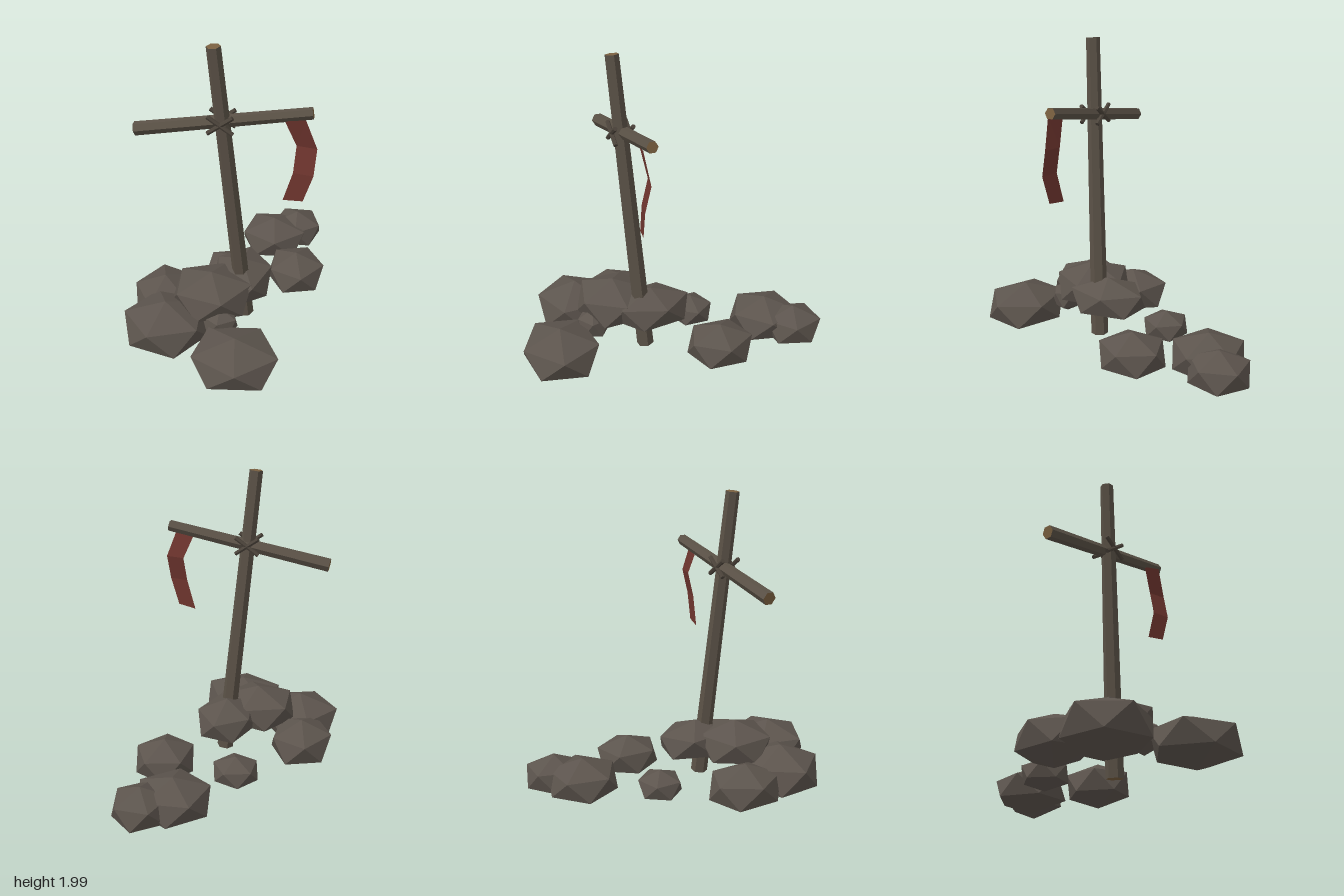
import * as THREE from 'three';

const mat = (name, color) => {
  const m = new THREE.MeshStandardMaterial({ color });
  m.name = name;
  return m;
};

export function createModel() {
  const group = new THREE.Group();
  const stone = mat('stone', 0x5c544d);
  const wood = mat('weatheredWood', 0x5a5146);
  const endGrain = mat('endGrain', 0x7a6040);
  const rope = mat('rope', 0x4c443b);
  const cloth = mat('redCloth', 0x6e352e);
  cloth.side = THREE.DoubleSide;

  const add = (name, geometry, material) => {
    const mesh = new THREE.Mesh(geometry, material);
    mesh.name = name;
    group.add(mesh);
  };

  // Faceted six-sided pole from a to b, with its own material on the cut ends
  const pole = (name, a, b, ra, rb, turn, material, endMaterial) => {
    const from = new THREE.Vector3(...a), to = new THREE.Vector3(...b);
    const dir = to.clone().sub(from);
    let g = new THREE.CylinderGeometry(rb, ra, dir.length(), 6);
    g.rotateY(turn);
    g.applyQuaternion(new THREE.Quaternion().setFromUnitVectors(
      new THREE.Vector3(0, 1, 0), dir.clone().normalize()));
    g.translate(...from.add(to).multiplyScalar(0.5).toArray());
    g = g.toNonIndexed();
    g.computeVertexNormals();
    add(name, g, [material, endMaterial, endMaterial]);
  };

  // Leaning post and tilted crossbar
  pole('post', [0.12, 0.07, 0.16], [-0.057, 1.997, 0.286], 0.056, 0.043, Math.PI / 6, wood, endGrain);
  pole('crossbar', [-0.548, 1.433, 0.234], [0.51, 1.614, 0.25], 0.043, 0.036, 0, wood, endGrain);

  // Crossed lashings on both faces of the joint
  for (const z of [0.312, 0.198]) {
    pole('lashing', [-0.095, 1.472, z], [0.055, 1.578, z], 0.014, 0.014, 0, rope, rope);
    pole('lashing', [-0.095, 1.578, z], [0.055, 1.472, z], 0.014, 0.014, 0, rope, rope);
  }

  // Torn strip of cloth: left x, left y, right y, z for each row
  const rows = [
    [0.35, 1.56, 1.585, 0.278],
    [0.422, 1.397, 1.397, 0.258],
    [0.41, 1.233, 1.233, 0.292],
    [0.354, 1.037, 1.052, 0.283],
  ];
  const pos = [];
  for (let i = 0; i < rows.length - 1; i++) {
    const [a, b, c, d] = [rows[i], rows[i + 1]].flatMap(([x, yl, yr, z]) =>
      [[x, yl, z - 0.012], [x + 0.122, yr, z + 0.012]]);
    pos.push(...a, ...c, ...b, ...b, ...c, ...d);
  }
  const strip = new THREE.BufferGeometry();
  strip.setAttribute('position', new THREE.Float32BufferAttribute(pos, 3));
  strip.computeVertexNormals();
  add('clothStrip', strip, cloth);

  // Squashed boulders: centre x, z; half width, half depth; bottom, top; yaw in degrees
  const boulders = [
    [0.13, 0.738, 0.27, 0.24, 0.015, 0.322, 11],
    [-0.345, 0.505, 0.26, 0.245, 0.015, 0.365, 33],
    [-0.415, 0.185, 0.2, 0.235, 0.02, 0.33, 36],
    [0.09, 0.11, 0.19, 0.25, 0.18, 0.465, -11],
    [-0.08, 0.315, 0.25, 0.235, 0.17, 0.485, -4],
    [0, 0.48, 0.11, 0.1, 0.12, 0.335, 20],
    [-0.06, -0.242, 0.145, 0.14, 0.03, 0.24, 0],
    [0.425, -0.242, 0.19, 0.205, 0.01, 0.3, 3],
    [0.228, -0.663, 0.228, 0.222, 0.01, 0.305, 12],
    [0.39, -0.795, 0.175, 0.185, 0.02, 0.295, 18],
  ];
  const tilt = Math.atan(2 / (1 + Math.sqrt(5)));
  for (const [x, z, hx, hz, y0, y1, yaw] of boulders) {
    const g = new THREE.IcosahedronGeometry(1, 0);
    g.rotateZ(-tilt); // one corner straight up
    g.rotateY(-THREE.MathUtils.degToRad(yaw));
    g.scale(hx / 0.87, (y1 - y0) / 2, hz / 0.87);
    g.translate(x, (y0 + y1) / 2, z);
    add('boulder', g, stone);
  }
  return group;
}
